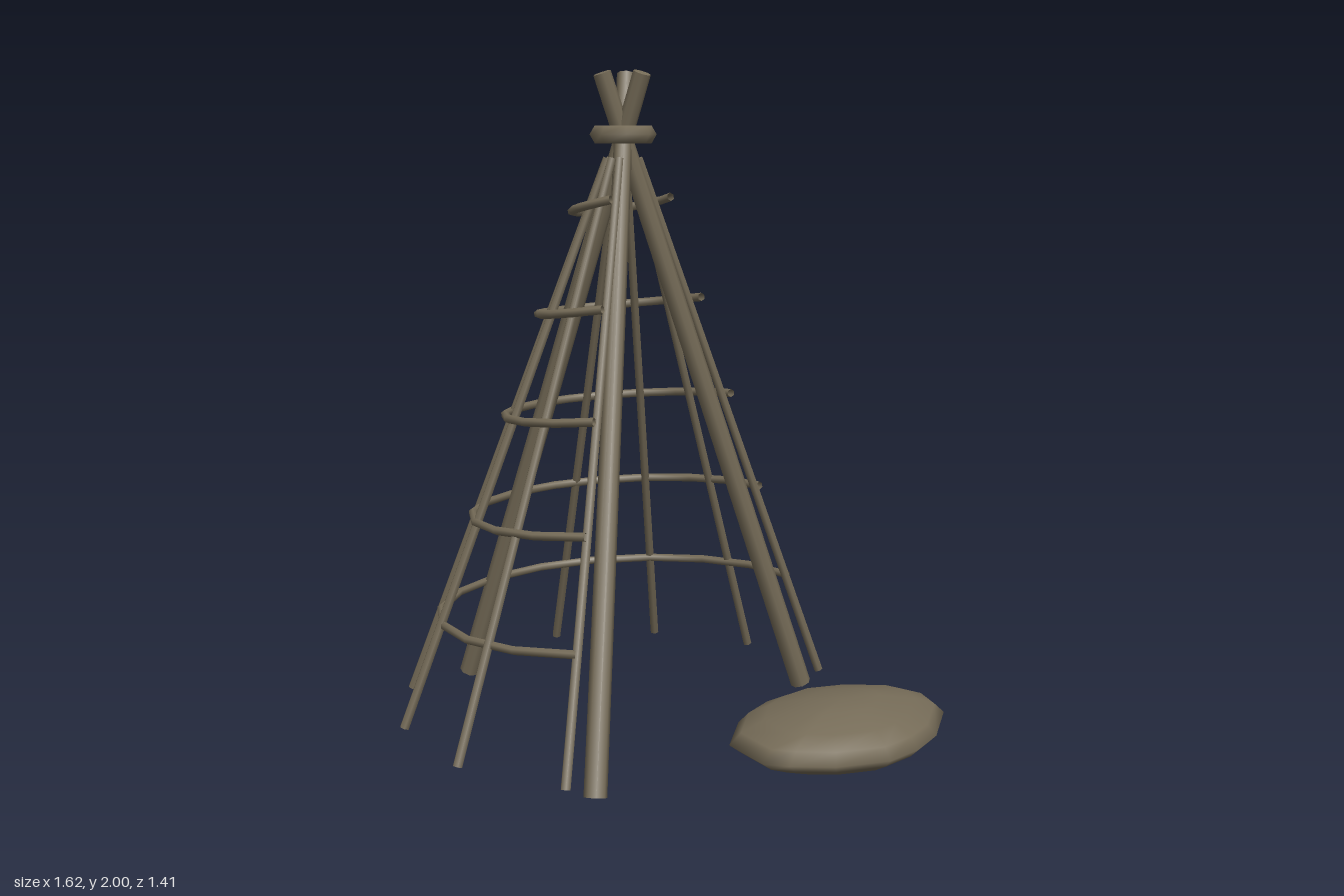
import * as THREE from 'three';

const CX = -0.12, CZ = -0.015; // axis of the frame
const START = 109, SWEEP = 233.4; // arc closed by the lattice, in degrees

// Point around the frame's axis
function polar(deg, r, y) {
  const a = THREE.MathUtils.degToRad(deg);
  return new THREE.Vector3(CX + r * Math.cos(a), y, CZ + r * Math.sin(a));
}

// Tapered pole between two points
function makePole(name, a, b, r0, r1, sides, material) {
  const dir = b.clone().sub(a);
  const mesh = new THREE.Mesh(new THREE.CylinderGeometry(r1, r0, dir.length(), sides), material);
  mesh.position.copy(a).add(b).multiplyScalar(0.5);
  mesh.quaternion.setFromUnitVectors(new THREE.Vector3(0, 1, 0), dir.normalize());
  mesh.name = name;
  return mesh;
}

// Flattened boulder: one outline shrunk into loops above and below its rim
function stoneGeometry() {
  const outline = [
    [0.125, 0.51], [0.18, 0.34], [0.26, 0.245], [0.38, 0.165], [0.535, 0.14], [0.72, 0.165], [0.79, 0.23],
    [0.807, 0.33], [0.73, 0.51], [0.65, 0.605], [0.55, 0.675], [0.39, 0.7], [0.265, 0.68], [0.195, 0.655],
  ];
  const loops = [[0, 0.01], [0.35, 0.016], [0.7, 0.042], [0.9, 0.073], [1, 0.1],
    [0.9, 0.132], [0.7, 0.16], [0.35, 0.185], [0, 0.192]];
  const n = outline.length, cx = 0.475, cz = 0.42, pos = [], index = [];
  for (const [s, y] of loops) {
    if (s === 0) pos.push(cx, y, cz);
    else for (const [x, z] of outline) pos.push(cx + (x - cx) * s, y, cz + (z - cz) * s);
  }
  const rows = loops.length - 2, last = 1 + rows * n;
  for (let i = 0; i < n; i++) {
    const j = (i + 1) % n;
    index.push(0, 1 + i, 1 + j);
    for (let k = 0; k < rows - 1; k++) {
      const a = 1 + k * n + i, b = 1 + k * n + j;
      index.push(a, a + n, b, b, a + n, b + n);
    }
    index.push(last - n + i, last, last - n + j);
  }
  const g = new THREE.BufferGeometry();
  g.setAttribute('position', new THREE.Float32BufferAttribute(pos, 3));
  g.setIndex(index);
  g.computeVertexNormals();
  return g;
}

export function createModel() {
  const model = new THREE.Group();
  model.name = 'hutFrame';
  const wood = new THREE.MeshStandardMaterial({ color: 0x766c58, side: THREE.DoubleSide });
  wood.name = 'weatheredBrown';

  // Three main poles crossing under the tips
  const apex = new THREE.Vector3(CX, 1.8, CZ);
  for (const [x, z] of [[-0.61, -0.465], [-0.265, 0.62], [0.485, -0.215]]) {
    const foot = new THREE.Vector3(x, 0.012, z);
    const tip = foot.clone().lerp(apex, (1.988 - 0.012) / (1.8 - 0.012));
    model.add(makePole('mainPole', foot, tip, 0.033, 0.027, 8, wood));
  }

  // Nine thin poles around the closed side
  for (let i = 0; i < 9; i++) {
    const deg = START + (SWEEP * i) / 8;
    model.add(makePole('thinPole', polar(deg, 0.7, 0.05), polar(deg, 0.05, 1.74), 0.015, 0.013, 6, wood));
  }

  // Five sagging hoops with an opening at the front
  for (let k = 0; k < 5; k++) {
    const points = [];
    for (let i = 0; i <= 12; i++) {
      const t = i / 12;
      points.push(polar(START + SWEEP * t, 0.575 - 0.105 * k, 0.392 + 0.308 * k - 0.047 * Math.sin(Math.PI * t)));
    }
    const hoop = new THREE.Mesh(
      new THREE.TubeGeometry(new THREE.CatmullRomCurve3(points), 12, 0.013, 6), wood);
    hoop.name = 'hoop';
    model.add(hoop);
  }

  // Binding ring where the poles cross
  const binding = new THREE.Mesh(new THREE.TorusGeometry(0.07, 0.03, 6, 8), wood);
  binding.name = 'binding';
  binding.rotation.x = Math.PI / 2;
  binding.position.set(CX, 1.81, CZ);
  model.add(binding);

  // Flat boulder by the entrance
  const stone = new THREE.Mesh(stoneGeometry(), wood);
  stone.name = 'flatStone';
  model.add(stone);

  return model;
}
